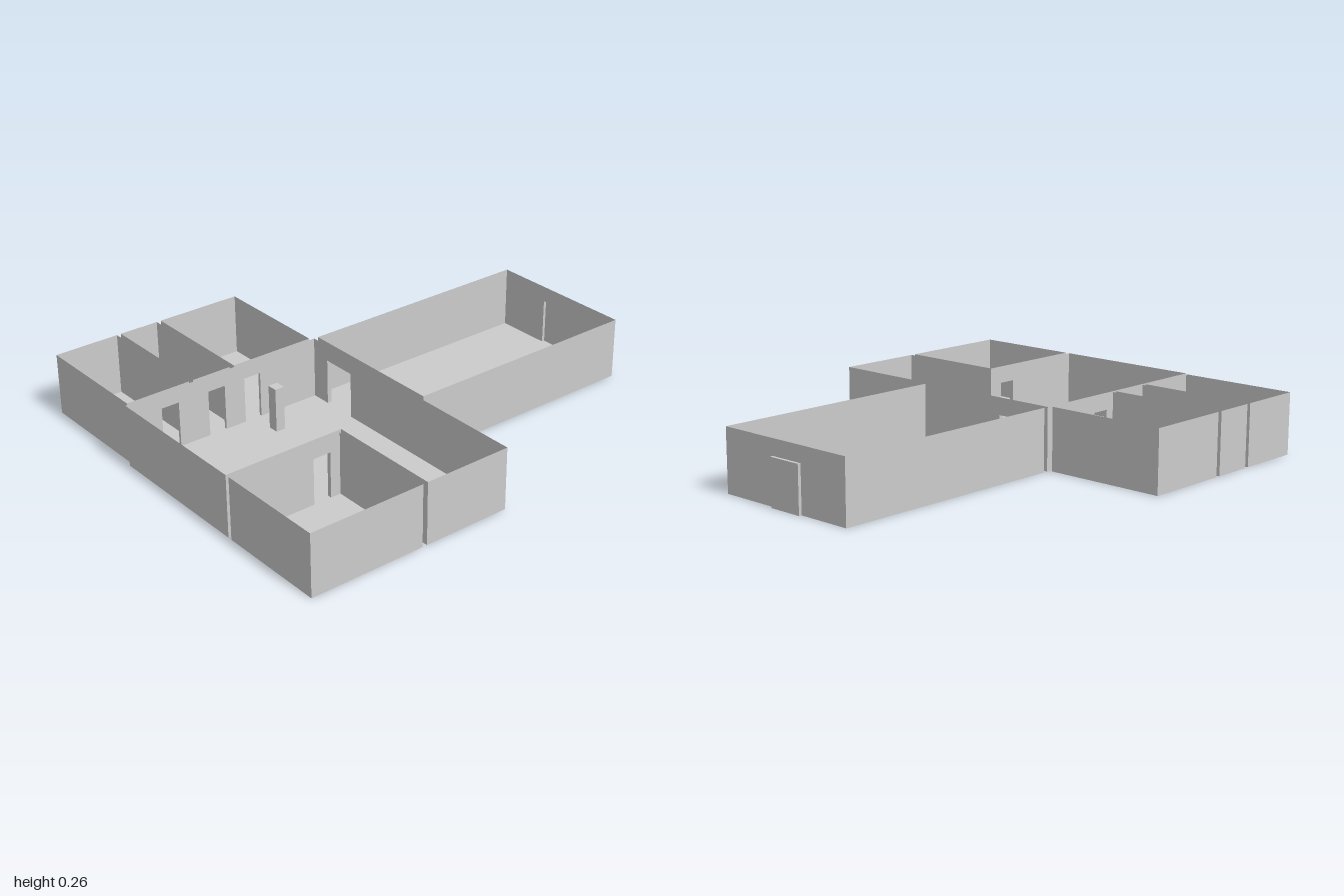
import * as THREE from 'three';

const WALL_H = 0.264, DOOR_H = 0.196;
const material = new THREE.MeshStandardMaterial({ color: 0xcccccc, side: THREE.DoubleSide, flatShading: true });

const rect = (x0, z0, x1, z1) => [[x0, z0], [x1, z0], [x1, z1], [x0, z1]];

// Room outlines as [x, z] corners
const rooms = {
  backRoom: rect(-0.31, -0.987, 0.353, 0.074),
  mainHall: [[-0.31, 0.094], [0.846, 0.094], [0.846, 0.477], [0.353, 0.477], [0.353, 1], [-0.31, 1]],
  rightBackRoom: rect(-0.85, 0.11, -0.322, 0.487),
  rightMiddleRoom: rect(-0.85, 0.507, -0.322, 0.682),
  rightFrontRoom: rect(-0.85, 0.701, -0.322, 0.985),
  leftFrontRoom: rect(0.371, 0.498, 0.846, 1),
};

// Passages: footprint x0, z0, x1, z1; "through" is the axis one walks along
const doors = [
  { name: 'backDoor', box: [-0.071, -1, 0.083, -0.987], through: 'z', closed: true },
  { name: 'hallDoor', box: [-0.224, 0.074, -0.071, 0.094], through: 'z' },
  { name: 'rightBackDoor', box: [-0.322, 0.37, -0.31, 0.448], through: 'x' },
  { name: 'rightMiddleDoor', box: [-0.322, 0.543, -0.31, 0.622], through: 'x' },
  { name: 'rightFrontDoor', box: [-0.322, 0.761, -0.31, 0.84], through: 'x' },
  { name: 'leftFrontDoor', box: [0.353, 0.543, 0.371, 0.622], through: 'x' },
];

function add(parent, name, geometry) {
  const mesh = new THREE.Mesh(geometry, material);
  mesh.name = name;
  parent.add(mesh);
}

// Horizontal sheet facing up
function sheet(points, y) {
  const shape = new THREE.Shape(points.map(([x, z]) => new THREE.Vector2(x, -z)));
  return new THREE.ShapeGeometry(shape).rotateX(-Math.PI / 2).translate(0, y, 0);
}

// Distances along wall a-b where doorways start and end
function openings([ax, az], [bx, bz]) {
  const alongX = az === bz;
  const spans = [];
  for (const { box: [x0, z0, x1, z1], through } of doors) {
    if ((through === 'z') !== alongX) continue;
    const touches = alongX ? [z0, z1].includes(az) : [x0, x1].includes(ax);
    const [lo, hi] = alongX ? [x0, x1] : [z0, z1];
    const [a, b] = alongX ? [ax, bx] : [az, bz];
    if (touches && lo > Math.min(a, b) && hi < Math.max(a, b)) {
      spans.push([Math.abs(lo - a), Math.abs(hi - a)].sort((p, q) => p - q));
    }
  }
  return spans.sort((p, q) => p[0] - q[0]);
}

// Upright sheet from a to b, notched at the floor for each doorway
function wall(a, b, height, spans = []) {
  const dx = b[0] - a[0], dz = b[1] - a[1], length = Math.hypot(dx, dz);
  const shape = new THREE.Shape();
  shape.moveTo(0, 0);
  for (const [s, e] of spans) {
    shape.lineTo(s, 0).lineTo(s, DOOR_H).lineTo(e, DOOR_H).lineTo(e, 0);
  }
  shape.lineTo(length, 0).lineTo(length, height).lineTo(0, height);
  return new THREE.ShapeGeometry(shape).rotateY(Math.atan2(-dz, dx)).translate(a[0], 0, a[1]);
}

export function createModel() {
  const model = new THREE.Group();
  model.name = 'floorPlan';

  // Open-topped rooms
  for (const [name, points] of Object.entries(rooms)) {
    const room = new THREE.Group();
    room.name = name;
    add(room, 'floor', sheet(points, 0));
    points.forEach((a, i) => {
      const b = points[(i + 1) % points.length];
      add(room, 'wall', wall(a, b, WALL_H, openings(a, b)));
    });
    model.add(room);
  }

  // Door passages: sill, lintel and two jambs
  for (const { name, box, through, closed } of doors) {
    const door = new THREE.Group();
    door.name = name;
    const c = rect(...box);
    add(door, 'sill', sheet(c, 0));
    add(door, 'lintel', sheet(c, DOOR_H));
    const jambs = through === 'z' ? [[c[0], c[3]], [c[1], c[2]]] : [[c[0], c[1]], [c[3], c[2]]];
    for (const [a, b] of jambs) add(door, 'jamb', wall(a, b, DOOR_H));
    if (closed) add(door, 'doorPanel', wall(c[0], c[1], DOOR_H));
    model.add(door);
  }

  // Free-standing pillar in the hall
  add(model, 'pillar', new THREE.BoxGeometry(0.046, 0.19, 0.042).translate(-0.186, 0.095, 0.381));
  return model;
}
